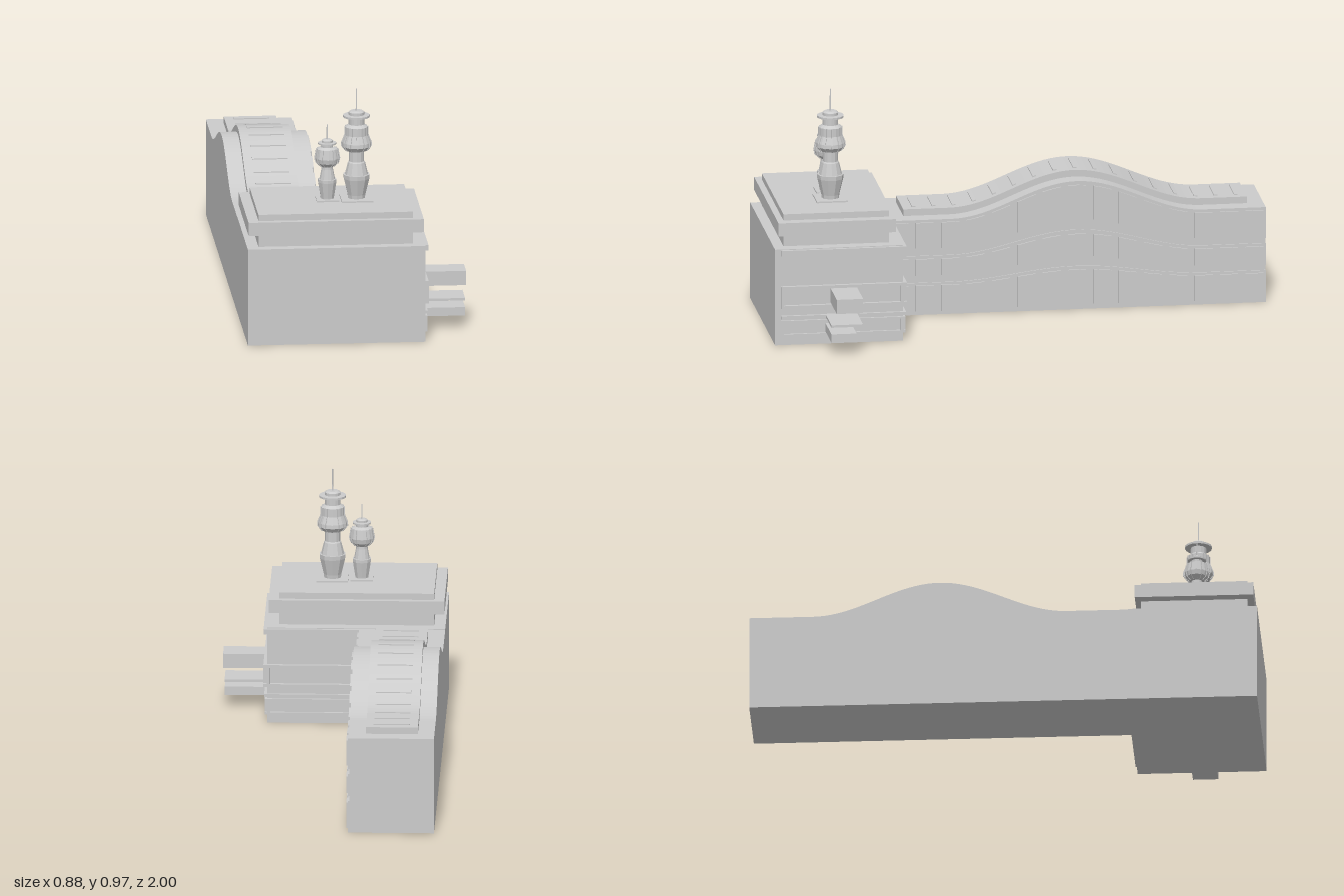
import * as THREE from 'three';

const grey = new THREE.MeshStandardMaterial({ color: 0xcccccc, flatShading: true });

function add(parent, name, geo, x = 0, y = 0, z = 0) {
  const m = new THREE.Mesh(geo, grey);
  m.name = name;
  m.position.set(x, y, z);
  parent.add(m);
  return m;
}

// Box given by its limits on each axis
function block(parent, name, x0, x1, y0, y1, z0, z1) {
  return add(parent, name, new THREE.BoxGeometry(x1 - x0, y1 - y0, z1 - z0),
    (x0 + x1) / 2, (y0 + y1) / 2, (z0 + z1) / 2);
}

// Height of the wavy wing along z
function wingHeight(z) {
  const d = Math.min(Math.abs(z + 0.25) / 0.5, 1);
  return 0.387 + 0.0675 * (1 + Math.cos(Math.PI * d));
}

// Box whose y values are remapped by rule(y, z) so that it follows the wave
function waveBox(parent, name, x0, x1, y0, y1, z0, z1, rule, segs) {
  const geo = new THREE.BoxGeometry(x1 - x0, y1 - y0, z1 - z0, 1, 1, segs);
  geo.translate((x0 + x1) / 2, (y0 + y1) / 2, (z0 + z1) / 2);
  const p = geo.attributes.position;
  for (let i = 0; i < p.count; i++) p.setY(i, rule(p.getY(i), p.getZ(i)));
  geo.computeVertexNormals();
  return add(parent, name, geo);
}
const scaled = (y, z) => y * wingHeight(z) / 0.387;
const raised = (y, z) => y + wingHeight(z);

function buildWing() {
  const g = new THREE.Group();
  g.name = 'wavyWing';
  waveBox(g, 'wingBody', -0.44, -0.107, 0, 0.387, -1, 0.5, scaled, 60);

  // Storey bands on the window side
  [[0, 0.13], [0.15, 0.24], [0.26, 0.387]].forEach(([a, b]) =>
    waveBox(g, 'storeyBand', -0.11, -0.102, a, b, -1, 0.5, scaled, 60));

  // Three rows of projecting windows
  [[0.015, 0.12], [0.16, 0.228], [0.272, 0.376]].forEach(([a, b]) => {
    for (let i = 0; i < 15; i++) {
      const z = 0.455 - i * 0.1007;
      waveBox(g, 'window', -0.105, -0.095, a, b, z - 0.036, z + 0.036, scaled, 2);
    }
  });

  // Raised roof strip with cross ribs
  waveBox(g, 'roofStrip', -0.375, -0.17, -0.01, 0.027, -0.935, 0.43, raised, 56);
  for (let i = 0; i < 17; i++) {
    const z = 0.385 - i * 0.08;
    waveBox(g, 'roofRib', -0.34, -0.2, 0.02, 0.031, z - 0.007, z + 0.007, raised, 1);
  }
  return g;
}

function buildHall() {
  const g = new THREE.Group();
  g.name = 'frontHall';
  block(g, 'hallBody', -0.44, 0.262, 0, 0.39, 0.492, 1);
  block(g, 'upperStorey', -0.395, 0.215, 0.38, 0.52, 0.54, 0.96);
  block(g, 'roofSlab', -0.436, 0.256, 0.442, 0.495, 0.518, 0.985);

  // Trim along the right side and the rear wall: [bottom, top, depth]
  [[0.365, 0.387, 0.013], [0.228, 0.24, 0.014], [0.15, 0.162, 0.014],
    [0.108, 0.12, 0.011], [0.092, 0.1, 0.009], [0.036, 0.045, 0.009]].forEach(([a, b, d]) => {
    block(g, 'sideTrim', 0.25, 0.262 + d, a, b, 0.492 - d, 0.975);
    block(g, 'rearTrim', -0.11, 0.262 + d, a, b, 0.492 - d, 0.51);
  });
  // Uprights closing the two framed panels
  [[0.15, 0.24, 0.014], [0.036, 0.1, 0.009]].forEach(([a, b, d]) => {
    [0.49, 0.965].forEach(z => block(g, 'sideUpright', 0.25, 0.262 + d, a, b, z, z + 0.012));
    [-0.1, 0.25].forEach(x => block(g, 'rearUpright', x, x + 0.012, a, b, 0.492 - d, 0.51));
  });

  // Projecting entrance pieces
  block(g, 'bridgeBox', 0.25, 0.44, 0.168, 0.226, 0.675, 0.78);
  block(g, 'canopy', 0.25, 0.434, 0.111, 0.121, 0.675, 0.8);
  block(g, 'porch', 0.25, 0.434, 0.05, 0.084, 0.7, 0.8);
  return g;
}

function lathe(parent, name, pts, sides) {
  return add(parent, name, new THREE.LatheGeometry(pts.map(p => new THREE.Vector2(...p)), sides));
}

// Tower from three profiles of [radius, height], with fins around the bulb
function buildTower(name, x, plate, flare, neck, bulb, cap, tip) {
  const g = new THREE.Group();
  g.name = name;
  g.position.set(x, 0, 0.745);
  block(g, 'basePlate', -plate, plate, 0.515, 0.526, -plate, plate);
  lathe(g, 'flaredBase', flare, 10);
  lathe(g, 'neck', neck, 12);
  lathe(g, 'bulb', bulb, 16);
  lathe(g, 'cap', cap, 16);

  const outline = bulb.slice(1, -1);
  const fin = new THREE.Shape();
  outline.forEach(([r, y], i) => i ? fin.lineTo(r + 0.003, y) : fin.moveTo(r + 0.003, y));
  [...outline].reverse().forEach(([r, y]) => fin.lineTo(r - 0.006, y));
  const geo = new THREE.ExtrudeGeometry(fin, { depth: 0.006, bevelEnabled: false });
  geo.translate(0, 0, -0.003);
  for (let i = 0; i < 12; i++) add(g, 'bulbFin', geo).rotation.y = i * Math.PI / 6;

  const top = cap[cap.length - 1][1] - 0.005;
  add(g, 'antenna', new THREE.CylinderGeometry(0.0022, 0.003, tip - top, 8), 0, (tip + top) / 2, 0);
  return g;
}

export function createModel() {
  const model = new THREE.Group();
  model.name = 'building';
  model.add(buildWing(), buildHall());
  model.add(buildTower('tallTower', 0.01, 0.062,
    [[0.034, 0.52], [0.036, 0.54], [0.052, 0.605], [0.053, 0.622], [0, 0.624]],
    [[0.046, 0.622], [0.034, 0.67], [0.03, 0.675], [0.03, 0.72]],
    [[0, 0.717], [0.045, 0.72], [0.058, 0.737], [0.057, 0.752], [0.045, 0.782], [0.045, 0.815], [0.032, 0.825]],
    [[0.031, 0.82], [0.031, 0.853], [0.053, 0.854], [0.053, 0.862], [0.031, 0.863], [0.031, 0.874], [0.022, 0.88], [0, 0.88]],
    0.968));
  model.add(buildTower('shortTower', -0.105, 0.044,
    [[0.026, 0.52], [0.027, 0.53], [0.037, 0.592], [0.037, 0.604], [0, 0.605]],
    [[0.031, 0.603], [0.023, 0.645], [0.022, 0.66]],
    [[0, 0.655], [0.028, 0.657], [0.044, 0.672], [0.048, 0.69], [0.041, 0.728], [0.026, 0.735]],
    [[0.023, 0.73], [0.023, 0.745], [0.036, 0.746], [0.036, 0.752], [0.022, 0.753], [0.022, 0.761], [0.014, 0.766], [0, 0.766]],
    0.825));
  return model;
}
